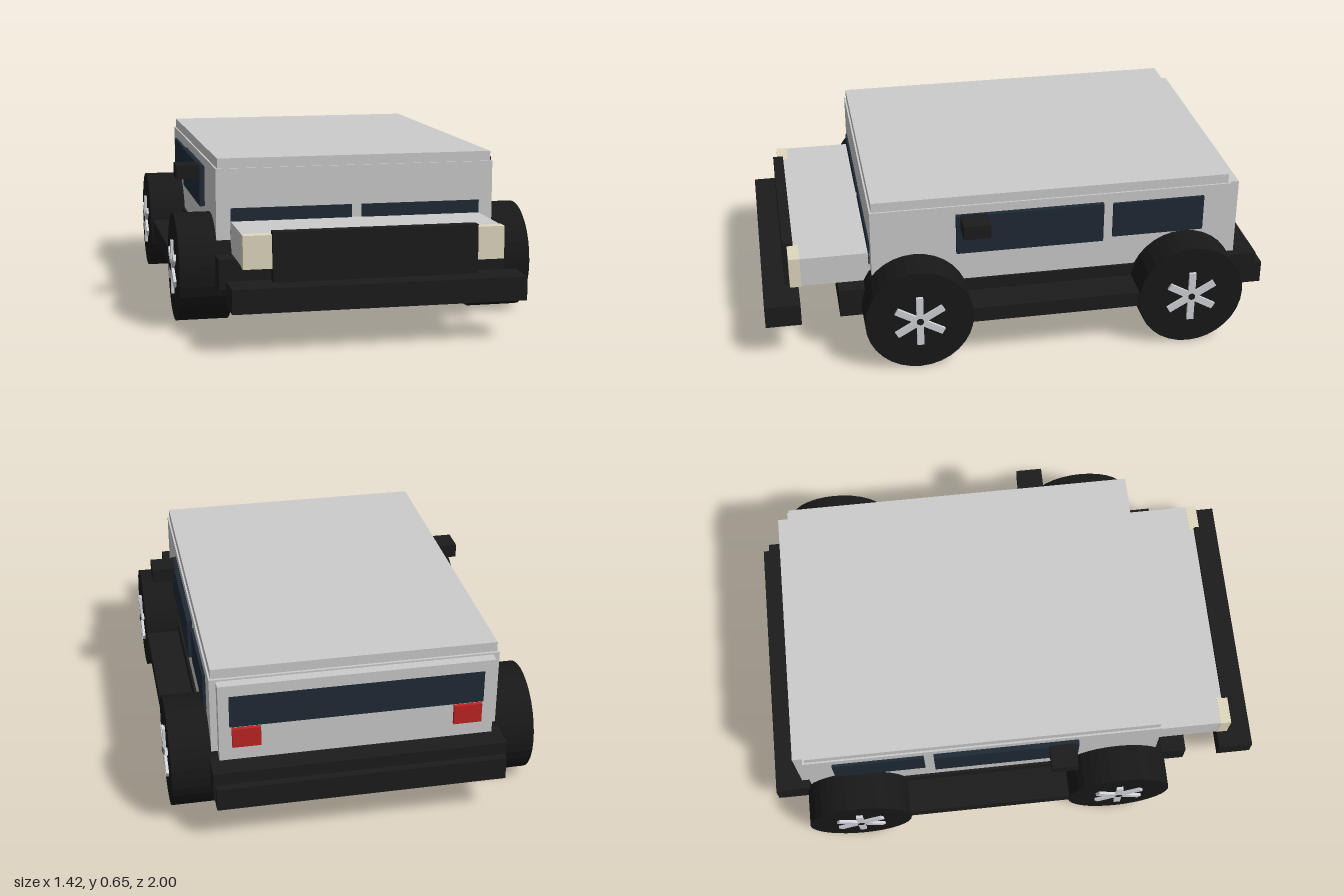
import * as THREE from 'three';

const mat = (color) => new THREE.MeshStandardMaterial({ color, flatShading: true });

export function createModel() {
  const car = new THREE.Group();
  car.name = 'offRoadCar';
  const grey = mat(0xcccccc), black = mat(0x1c1c1c), rubber = mat(0x181818);
  const glass = mat(0x1f2a36), cream = mat(0xe0d9c0), red = mat(0xc02525), alloy = mat(0xd2d4d8);

  // Box given by its extents on each axis
  function box(name, material, [x0, x1], [y0, y1], [z0, z1]) {
    const mesh = new THREE.Mesh(new THREE.BoxGeometry(x1 - x0, y1 - y0, z1 - z0), material);
    mesh.position.set((x0 + x1) / 2, (y0 + y1) / 2, (z0 + z1) / 2);
    mesh.name = name;
    car.add(mesh);
  }
  // The same box on both sides
  function pair(name, material, [x0, x1], y, z) {
    box(name + 'Left', material, [x0, x1], y, z);
    box(name + 'Right', material, [-x1, -x0], y, z);
  }

  // Body
  box('chassis', black, [-0.555, 0.555], [0.175, 0.29], [-0.97, 0.71]);
  box('cabin', grey, [-0.545, 0.545], [0.285, 0.612], [-0.845, 0.58]);
  box('roof', grey, [-0.538, 0.538], [0.612, 0.65], [-0.835, 0.573]);
  box('tailgate', grey, [-0.52, 0.52], [0.29, 0.605], [-0.885, -0.845]);
  box('hood', grey, [-0.49, 0.49], [0.29, 0.41], [0.58, 0.885]);

  // Front and rear trim
  box('grille', black, [-0.385, 0.385], [0.24, 0.425], [0.87, 0.912]);
  box('frontBumper', black, [-0.548, 0.548], [0.15, 0.24], [0.86, 1]);
  box('rearBumper', black, [-0.548, 0.548], [0.15, 0.24], [-1, -0.87]);
  pair('headlight', cream, [0.38, 0.492], [0.288, 0.412], [0.85, 0.894]);
  pair('tailLight', red, [0.365, 0.472], [0.35, 0.428], [-0.9, -0.88]);

  // Windows
  pair('windshield', glass, [0.02, 0.49], [0.36, 0.46], [0.57, 0.587]);
  pair('frontSideWindow', glass, [0.53, 0.565], [0.415, 0.577], [-0.33, 0.25]);
  pair('rearSideWindow', glass, [0.53, 0.556], [0.425, 0.57], [-0.735, -0.37]);
  box('rearWindow', glass, [-0.48, 0.48], [0.43, 0.56], [-0.886, -0.87]);

  // Mirrors and running boards
  pair('mirror', black, [0.56, 0.655], [0.524, 0.58], [0.13, 0.235]);
  pair('runningBoard', black, [0.54, 0.688], [0.178, 0.24], [-0.55, 0.32]);

  // Wheel: tyre, three crossed bars as six spokes, and a hub cap
  function wheel(name, x, z) {
    const group = new THREE.Group();
    const tyre = new THREE.Mesh(new THREE.CylinderGeometry(0.21, 0.21, 0.2, 32).rotateZ(Math.PI / 2), rubber);
    tyre.name = 'tyre';
    group.add(tyre);
    for (let i = 0; i < 3; i++) {
      const spoke = new THREE.Mesh(new THREE.BoxGeometry(0.03, 0.21, 0.027), alloy);
      spoke.position.x = 0.096;
      spoke.rotation.x = i * Math.PI / 3;
      spoke.name = 'spokeBar';
      group.add(spoke);
    }
    const hub = new THREE.Mesh(new THREE.CylinderGeometry(0.014, 0.014, 0.03, 12).rotateZ(Math.PI / 2), black);
    hub.position.x = 0.098;
    hub.name = 'hubCap';
    group.add(hub);
    group.position.set(x, 0.21, z);
    if (x < 0) group.rotation.y = Math.PI;
    group.name = name;
    car.add(group);
  }
  for (const [side, s] of [['Left', 1], ['Right', -1]]) {
    wheel('frontWheel' + side, s * 0.591, 0.415);
    wheel('rearWheel' + side, s * 0.598, -0.66);
  }
  return car;
}
